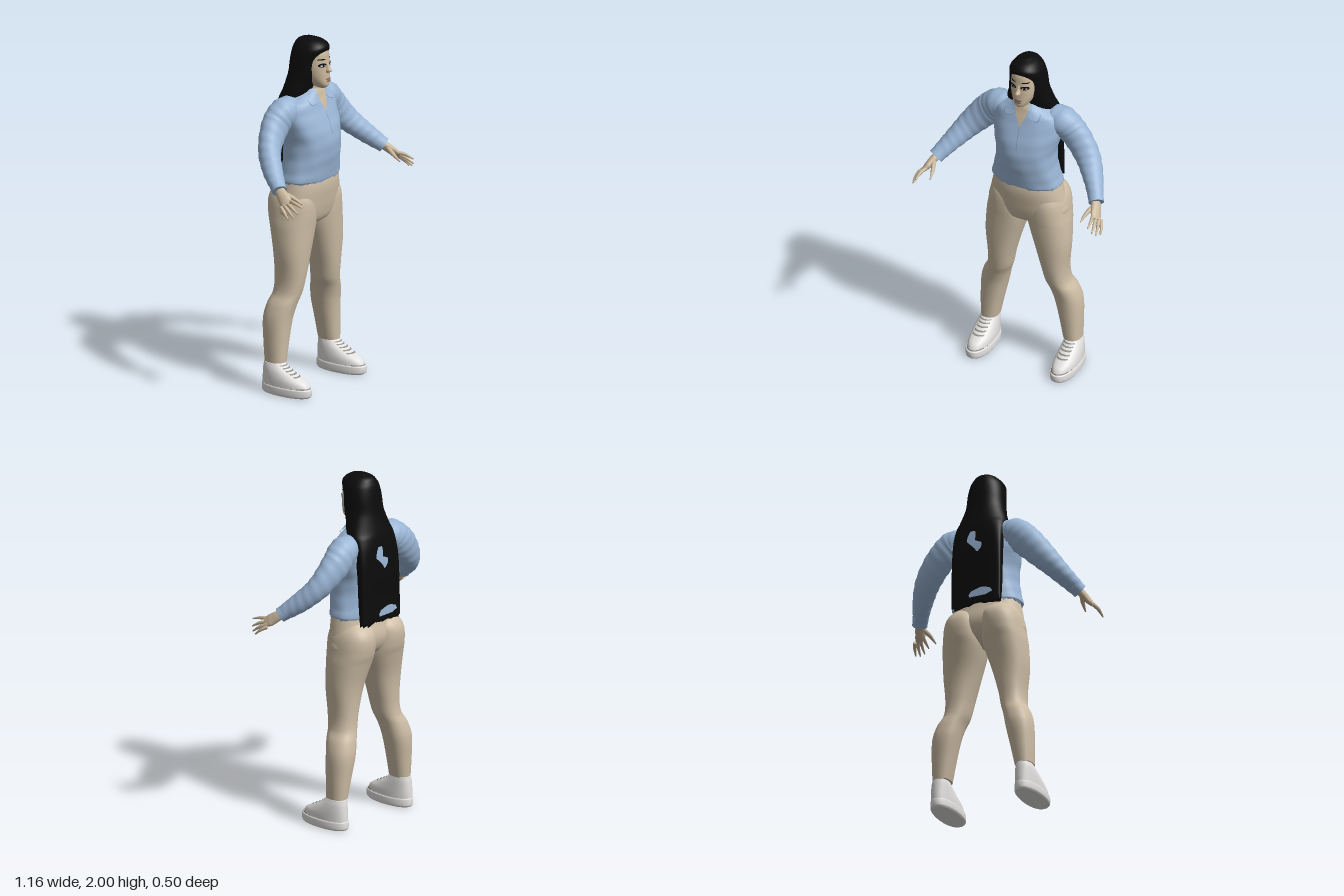
import * as THREE from 'three';

const colours = { hair: 0x0b0b0c, skin: 0xcbb89c, shirt: 0x9bb6d6, seam: 0x7d99bb, trousers: 0xcdbda5, shoe: 0xe2e1df, lace: 0x8f8b86, lips: 0x8a7264, eyeWhite: 0xe9e6e0 };
const mats = {};
for (const [name, color] of Object.entries(colours)) {
  mats[name] = new THREE.MeshStandardMaterial({ color });
  mats[name].name = name;
}

// Horizontal sections, top first: [y, x0, x1, zBack, zFront, squareness]
const half = rows => rows.map(([y, w, b, f, p]) => [y, -w, w, b, f, p ?? 2.3]);
const full = (rows, s, p = 2.3) => rows.map(([y, i, o, b, f]) => [y, Math.min(s * i, s * o), Math.max(s * i, s * o), b, f, p]);

// Smooth section at height y
function sample(sec, y) {
  const last = sec.length - 1;
  let i = 0;
  while (i < last - 1 && y < sec[i + 1][0]) i++;
  const a = sec[i], b = sec[i + 1], h = b[0] - a[0];
  const t = THREE.MathUtils.clamp((y - a[0]) / h, 0, 1), t2 = t * t, t3 = t2 * t;
  const slope = (j, k) => {
    const p = sec[Math.max(j - 1, 0)], n = sec[Math.min(j + 1, last)];
    return (n[k] - p[k]) / (n[0] - p[0]);
  };
  return [1, 2, 3, 4, 5].map(k => (2 * t3 - 3 * t2 + 1) * a[k] + (t3 - 2 * t2 + t) * h * slope(i, k)
    + (3 * t2 - 2 * t3) * b[k] + (t3 - t2) * h * slope(i + 1, k));
}

// Skin over closed rings, with flat ends
function skin(name, rings, mat) {
  const n = rings[0].length, m = rings.length, pos = [], idx = [];
  const add = p => pos.push(p.x, p.y, p.z) / 3 - 1;
  rings.forEach(r => r.forEach(add));
  for (let i = 0; i < m - 1; i++) for (let j = 0; j < n; j++) {
    const a = i * n + j, b = i * n + (j + 1) % n;
    idx.push(a, b, a + n, b, b + n, a + n);
  }
  [rings[0], rings[m - 1]].forEach((r, end) => {
    const c = add(r.reduce((s, p) => s.add(p), new THREE.Vector3()).divideScalar(n));
    const start = pos.length / 3;
    r.forEach(add);
    for (let j = 0; j < n; j++) {
      const a = start + j, b = start + (j + 1) % n;
      if (end) idx.push(c, a, b); else idx.push(c, b, a);
    }
  });
  const g = new THREE.BufferGeometry();
  g.setAttribute('position', new THREE.Float32BufferAttribute(pos, 3));
  g.setIndex(idx);
  g.computeVertexNormals();
  const mesh = new THREE.Mesh(g, mat);
  mesh.name = name;
  return mesh;
}

// Loft through horizontal sections; hem makes the lower edge ragged
function loft(name, sec, mat, { ripple = 0, hem = 0, n = 48 } = {}) {
  const ys = [];
  sec.forEach((s, i) => {
    if (i) for (let k = 1; k <= 5; k++) ys.push(THREE.MathUtils.lerp(sec[i - 1][0], s[0], k / 5));
    else ys.push(s[0]);
  });
  const rings = ys.map((y, i) => {
    const [x0, x1, b, f, p] = sample(sec, y);
    return Array.from({ length: n }, (_, j) => {
      const a = j / n * Math.PI * 2, c = Math.cos(a), s = Math.sin(a);
      const k = 1 + ripple * Math.sin(5 * a + y * 31) * Math.sin(3 * a - y * 47);
      const e = v => Math.sign(v) * Math.abs(v) ** (2 / p) * k;
      const drop = i === ys.length - 1 ? hem * (Math.sin(j * 2.3) + Math.sin(j * 0.9)) : 0;
      return new THREE.Vector3((x0 + x1) / 2 + (x1 - x0) / 2 * e(c), y + drop, (b + f) / 2 + (f - b) / 2 * e(s));
    });
  });
  return skin(name, rings, mat);
}

// Tapered limb along a curve: [x, y, z, radiusA, radiusB]
function limb(name, pts, s, mat, { ripple = 0, n = 20, steps = 24 } = {}) {
  const curve = new THREE.CatmullRomCurve3(pts.map(p => new THREE.Vector3(p[0] * s, p[1], p[2])));
  const rings = Array.from({ length: steps + 1 }, (_, i) => {
    const t = i / steps, u = t * (pts.length - 1), q = Math.min(Math.floor(u), pts.length - 2);
    const r = k => THREE.MathUtils.lerp(pts[q][k], pts[q + 1][k], u - q);
    const c = curve.getPoint(t), T = curve.getTangent(t);
    const B = new THREE.Vector3().crossVectors(T, new THREE.Vector3(0, 0, 1)).normalize();
    const N = new THREE.Vector3().crossVectors(T, B);
    return Array.from({ length: n }, (_, j) => {
      const a = j / n * Math.PI * 2, k = 1 + ripple * Math.sin(2 * a + i * 1.1) * Math.sin(i * 0.8);
      return c.clone().addScaledVector(B, Math.cos(a) * r(3) * k).addScaledVector(N, Math.sin(a) * r(4) * k);
    });
  });
  return skin(name, rings, mat);
}

// Thin plate lying on a loft; row(t) gives [y, xLeft, xRight] from top to bottom
function plate(name, sec, row, mat, off = 0.004, side = 1) {
  const g = new THREE.PlaneGeometry(1, 1, 10, 12), P = g.attributes.position;
  for (let i = 0; i < P.count; i++) {
    const [y, l, r] = row(0.5 - P.getY(i)), u = 0.5 + P.getX(i) * side;
    const x = THREE.MathUtils.lerp(l, r, u), [x0, x1, b, f, p] = sample(sec, y);
    const d = Math.min(Math.abs(x - (x0 + x1) / 2) / ((x1 - x0) / 2), 1);
    P.setXYZ(i, x, y, (b + f) / 2 + side * ((f - b) / 2 * (1 - d ** p) ** (1 / p) + off));
  }
  g.computeVertexNormals();
  const mesh = new THREE.Mesh(g, mat);
  mesh.name = name;
  return mesh;
}
const oval = (x, y, w, h, tilt = 0) => t => {
  const k = Math.sqrt(Math.max(0, 1 - (2 * t - 1) ** 2)) * w, yy = y + h * (1 - 2 * t);
  return [yy, x - k + tilt * (yy - y), x + k + tilt * (yy - y)];
};
// Row function through a few [y, xLeft, xRight] rows
const rowsOf = rows => t => {
  const u = t * (rows.length - 1), i = Math.min(Math.floor(u), rows.length - 2);
  return rows[i].map((v, k) => THREE.MathUtils.lerp(v, rows[i + 1][k], u - i));
};

export function createModel() {
  const model = new THREE.Group();
  model.name = 'woman';
  const add = (...m) => model.add(...m);

  // Head, neck and face
  const head = half([[1.975, 0.035, -0.12, 0], [1.93, 0.068, -0.15, 0.035], [1.88, 0.077, -0.16, 0.042], [1.83, 0.076, -0.15, 0.046],
    [1.785, 0.066, -0.13, 0.048], [1.75, 0.048, -0.1, 0.05], [1.73, 0.03, -0.06, 0.044], [1.718, 0.012, -0.02, 0.025]]);
  add(loft('head', head, mats.skin));
  add(limb('neck', [[0, 1.8, -0.06, 0.045, 0.045], [0, 1.7, -0.06, 0.048, 0.048], [0, 1.6, -0.07, 0.06, 0.055]], 1, mats.skin));
  add(loft('nose', half([[1.872, 0.007, 0.02, 0.046], [1.845, 0.009, 0.02, 0.06], [1.825, 0.015, 0.02, 0.075], [1.812, 0.01, 0.02, 0.055]]), mats.skin, { n: 16 }));
  add(plate('upperLip', head, oval(0, 1.776, 0.024, 0.006), mats.lips));
  add(plate('lowerLip', head, oval(0, 1.765, 0.019, 0.007), mats.lips, 0.006));
  for (const s of [1, -1]) {
    add(plate('eyelashes', head, oval(s * 0.036, 1.86, 0.022, 0.012), mats.hair));
    add(plate('eyeWhite', head, oval(s * 0.036, 1.858, 0.014, 0.006), mats.eyeWhite, 0.006));
    add(plate('iris', head, oval(s * 0.036, 1.859, 0.006, 0.006), mats.hair, 0.008));
    add(plate('eyebrow', head, oval(s * 0.038, 1.893, 0.02, 0.004), mats.hair));
  }

  // Long straight hair
  const hair = half([[2, 0.02, -0.1, -0.04], [1.985, 0.055, -0.14, 0.005], [1.96, 0.08, -0.158, 0.034], [1.935, 0.094, -0.167, 0.034],
    [1.88, 0.105, -0.176, 0.012], [1.8, 0.112, -0.185, 0.003], [1.75, 0.124, -0.195, -0.018], [1.69, 0.144, -0.21, -0.04],
    [1.66, 0.147, -0.216, -0.07, 2.8], [1.6, 0.148, -0.224, -0.12, 3.5], [1.5, 0.15, -0.23, -0.16, 4.5],
    [1.3, 0.152, -0.232, -0.18, 5], [1.18, 0.15, -0.234, -0.19, 5]]);
  add(loft('hair', hair, mats.hair, { hem: 0.011, n: 64 }));

  // Shirt body, open neck, collar and placket
  const shirt = half([[1.715, 0.07, -0.165, -0.012], [1.695, 0.09, -0.18, -0.004], [1.67, 0.135, -0.195, 0.002], [1.64, 0.185, -0.205, 0.014],
    [1.58, 0.2, -0.212, 0.034], [1.5, 0.192, -0.212, 0.064], [1.42, 0.174, -0.202, 0.08], [1.33, 0.177, -0.196, 0.075],
    [1.25, 0.195, -0.198, 0.06], [1.205, 0.206, -0.2, 0.054], [1.195, 0.2, -0.198, 0.05]]);
  add(loft('shirtBody', shirt, mats.shirt, { ripple: 0.012, hem: 0.005, n: 64 }));
  add(plate('openNeck', shirt, rowsOf([[1.715, -0.045, 0.045], [1.68, -0.042, 0.042], [1.59, -0.002, 0.002]]), mats.skin, 0.006));
  add(plate('placket', shirt, rowsOf([[1.59, -0.002, 0.002], [1.46, 0, 0.004]]), mats.seam, 0.004));
  for (const s of [1, -1]) {
    const flap = [[1.712, 0.04, 0.066], [1.69, 0.04, 0.085], [1.668, 0.032, 0.105], [1.645, 0.06, 0.1], [1.64, 0.092, 0.096]];
    add(plate('collar', shirt, rowsOf(flap.map(([y, a, b]) => s > 0 ? [y, a, b] : [y, -b, -a])), mats.shirt, 0.013));
    add(plate('collarEdge', shirt, rowsOf([[1.667, 0.028, 0.11], [1.642, 0.056, 0.108], [1.634, 0.09, 0.1]].map(([y, a, b]) => s > 0 ? [y, a, b] : [y, -b, -a])), mats.seam, 0.009));
  }

  // Shirt showing through the hair at the back
  add(plate('shirtPatchUpper', hair, rowsOf([[1.61, 0, 0.03], [1.58, -0.005, 0.045], [1.55, 0, 0.05], [1.53, -0.045, 0.03], [1.5, -0.04, 0], [1.48, -0.02, -0.01]]), mats.shirt, 0.005, -1));
  add(plate('shirtPatchLower', hair, rowsOf([[1.255, -0.06, -0.03], [1.24, -0.1, 0.02], [1.22, -0.11, 0.035], [1.205, -0.07, 0.03]]), mats.shirt, 0.006, -1));

  // Trousers seat
  add(loft('trouserSeat', half([[1.23, 0.185, -0.188, 0.042], [1.16, 0.203, -0.205, 0.05], [1.08, 0.222, -0.222, 0.042],
    [1.01, 0.232, -0.205, 0.03], [0.96, 0.16, -0.16, 0.012], [0.935, 0.06, -0.12, -0.02]]), mats.trousers));

  for (const s of [1, -1]) {
    // Sleeve and cuff
    add(limb('sleeve', [[0.1, 1.6, -0.11, 0.07, 0.07], [0.19, 1.6, -0.115, 0.088, 0.08], [0.26, 1.54, -0.122, 0.088, 0.072],
      [0.36, 1.43, -0.09, 0.072, 0.064], [0.43, 1.345, -0.02, 0.058, 0.055], [0.488, 1.272, 0.062, 0.042, 0.042]], s, mats.shirt, { ripple: 0.05, n: 28, steps: 40 }));
    add(limb('cuff', [[0.472, 1.292, 0.038, 0.044, 0.045], [0.496, 1.262, 0.074, 0.043, 0.042]], s, mats.shirt, { steps: 4 }));

    // Hand with four fingers and a thumb
    const hand = new THREE.Group();
    hand.name = s > 0 ? 'leftHand' : 'rightHand';
    hand.add(limb('palm', [[0.48, 1.28, 0.05, 0.024, 0.026], [0.503, 1.25, 0.092, 0.022, 0.032], [0.52, 1.224, 0.128, 0.019, 0.037], [0.533, 1.207, 0.155, 0.011, 0.03]], s, mats.skin));
    const tips = [[0.53, 1.205, 0.25], [0.549, 1.17, 0.238], [0.565, 1.15, 0.218], [0.578, 1.142, 0.188]];
    tips.forEach(([x, y, z], i) => {
      const bx = 0.512 + i * 0.013, by = 1.228 - i * 0.012, bz = 0.142 - i * 0.006;
      hand.add(limb('finger', [[bx, by, bz, 0.011, 0.011], [(bx + x) / 2 + 0.004, (by + y) / 2 + 0.006, (bz + z) / 2, 0.0095, 0.0095], [x, y, z, 0.004, 0.004]], s, mats.skin, { n: 10, steps: 8 }));
    });
    hand.add(limb('thumb', [[0.495, 1.255, 0.095, 0.015, 0.015], [0.474, 1.23, 0.15, 0.012, 0.012], [0.463, 1.2, 0.205, 0.004, 0.004]], s, mats.skin, { n: 10, steps: 10 }));
    add(hand);

    // Trouser leg
    add(loft('trouserLeg', full([[1.17, 0.05, 0.17, -0.18, -0.02], [1.13, 0.015, 0.205, -0.228, 0.015], [1.08, 0.004, 0.225, -0.247, 0.03],
      [1, 0, 0.238, -0.24, 0.03], [0.94, 0.004, 0.247, -0.222, 0.025], [0.8, 0.046, 0.252, -0.188, 0.015], [0.65, 0.088, 0.24, -0.176, 0],
      [0.56, 0.108, 0.248, -0.18, -0.015], [0.5, 0.13, 0.28, -0.198, -0.03], [0.42, 0.15, 0.302, -0.21, -0.046],
      [0.3, 0.177, 0.307, -0.2, -0.056], [0.175, 0.203, 0.305, -0.187, -0.062]], s), mats.trousers));

    // Shoe, sole and laces
    const upper = full([[0.172, 0.212, 0.302, -0.19, -0.07], [0.145, 0.206, 0.312, -0.194, -0.035], [0.11, 0.2, 0.32, -0.197, 0.03],
      [0.08, 0.196, 0.324, -0.199, 0.085], [0.045, 0.195, 0.325, -0.2, 0.108]], s, 2.2);
    add(loft('shoeUpper', upper, mats.shoe));
    add(loft('shoeSole', full([[0.05, 0.193, 0.327, -0.2, 0.11], [0.044, 0.19, 0.33, -0.203, 0.116], [0.01, 0.19, 0.33, -0.203, 0.114], [0, 0.196, 0.324, -0.197, 0.104]], s, 2.2), mats.shoe));
    add(plate('soleSeam', upper, rowsOf([[0.056, s * 0.26 - 0.06, s * 0.26 + 0.06], [0.05, s * 0.26 - 0.06, s * 0.26 + 0.06]]), mats.lace, 0.003));
    for (let i = 0; i < 5; i++) {
      const y = 0.165 - i * 0.013, w = 0.034, c = s * 0.258;
      add(plate('lace', upper, rowsOf([[y, c - w, c + w], [y - 0.005, c - w, c + w]]), mats.lace, 0.005));
    }
  }
  return model;
}
